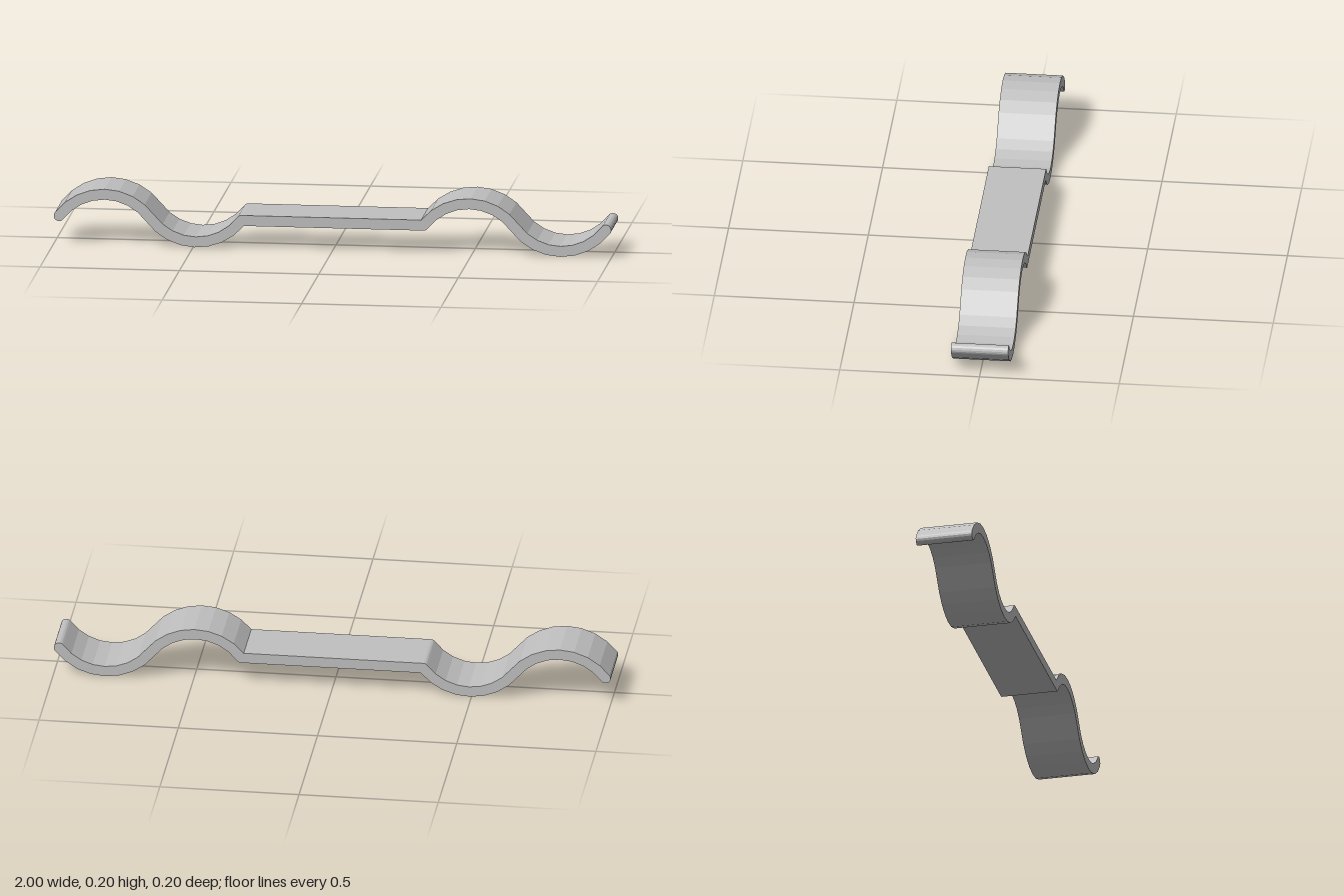
import * as THREE from 'three';

const HALF = 0.019;        // half of the strip thickness
const WIDTH = 0.205;
const MID_Y = 0.1015;
const PITCH = 0.327;       // chord of each wave arc
const SAG = 0.0825;        // height of each arc above the mid line
const RADIUS = (PITCH * PITCH / 4 + SAG * SAG) / (2 * SAG);
const DROP = RADIUS - SAG; // distance of the arc centres from the mid line
const ANGLE = Math.asin(PITCH / 2 / RADIUS);

// Points along an arc, from angle a to angle b
function arc(cx, cy, r, a, b, segments) {
  return Array.from({ length: segments + 1 }, (_, i) => {
    const t = a + (b - a) * i / segments;
    return new THREE.Vector2(cx + r * Math.cos(t), cy + r * Math.sin(t));
  });
}

export function createModel() {
  const up = Math.PI / 2;
  const outer = RADIUS + HALF, inner = RADIUS - HALF;
  const corner = Math.acos((DROP + HALF) / outer); // where the bar meets the rising arc

  // Upper edge, left to right
  const upper = [
    ...arc(-2.5 * PITCH, -DROP, outer, up + ANGLE, up - ANGLE, 8),
    ...arc(-1.5 * PITCH, DROP, inner, -up - ANGLE, -up + ANGLE, 8).slice(1),
    ...arc(-PITCH, 0, HALF, up + ANGLE, up, 3).slice(1),
    ...arc(1.5 * PITCH, -DROP, outer, up + corner, up - ANGLE, 8),
    ...arc(2.5 * PITCH, DROP, inner, -up - ANGLE, -up + ANGLE, 8).slice(1),
    // rounded tip
    ...arc(3 * PITCH, 0, HALF, up + ANGLE, -up + ANGLE, 8).slice(1, -1),
  ];
  // The lower edge is the upper edge turned half way round
  const lower = upper.map(p => p.clone().negate());
  const shape = new THREE.Shape([...upper, ...lower]);

  const geometry = new THREE.ExtrudeGeometry(shape, { depth: WIDTH, bevelEnabled: false });
  geometry.translate(0, MID_Y, -WIDTH / 2);

  const metal = new THREE.MeshStandardMaterial({ color: 0xc0c0c0, flatShading: true });
  metal.name = 'light grey metal';

  const strip = new THREE.Mesh(geometry, metal);
  strip.name = 'wavyStrip';
  const group = new THREE.Group();
  group.name = 'wavyBracket';
  group.add(strip);
  return group;
}
